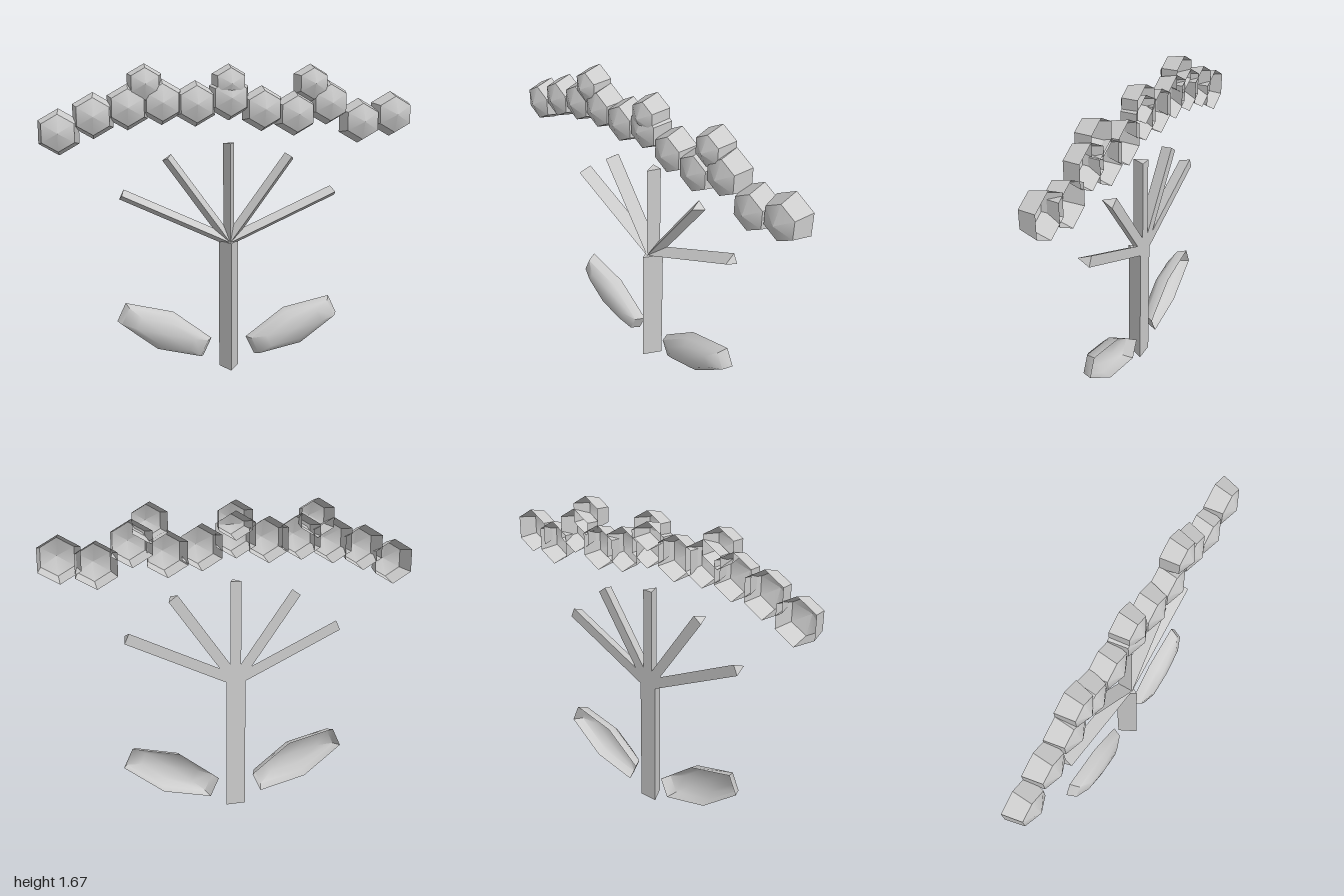
import * as THREE from 'three';
import { toCreasedNormals } from 'three/addons/utils/BufferGeometryUtils.js';

const BACK = -0.07;

// Open-backed dome: an outline at the back, shrinking through rings [scale, z] to an apex
function domeGeometry(outline, rings, apexZ, crease) {
  const pos = [], idx = [], n = outline.length;
  for (const [s, z] of rings) for (const [x, y] of outline) pos.push(x * s, y * s, z);
  pos.push(0, 0, apexZ);
  const apex = rings.length * n;
  for (let r = 0; r < rings.length; r++) {
    for (let j = 0; j < n; j++) {
      const a = r * n + j, b = r * n + (j + 1) % n;
      if (r === rings.length - 1) idx.push(a, b, apex);
      else idx.push(a, b, b + n, a, b + n, a + n);
    }
  }
  const geo = new THREE.BufferGeometry();
  geo.setAttribute('position', new THREE.Float32BufferAttribute(pos, 3));
  geo.setIndex(idx);
  return toCreasedNormals(geo, crease);
}

// Triangular bar rising along +y, flat at the back with a ridge in front
function barGeometry(halfWidth, ridgeZ, length) {
  const shape = new THREE.Shape([
    new THREE.Vector2(-halfWidth, -BACK),
    new THREE.Vector2(halfWidth, -BACK),
    new THREE.Vector2(0, -ridgeZ),
  ]);
  return new THREE.ExtrudeGeometry(shape, { depth: length, bevelEnabled: false }).rotateX(-Math.PI / 2);
}

export function createModel() {
  const group = new THREE.Group();
  const grey = new THREE.MeshStandardMaterial({ color: 0xcccccc, side: THREE.DoubleSide });
  grey.name = 'light grey';

  const add = (name, geo, x, y, angle = 0) => {
    const mesh = new THREE.Mesh(geo, grey);
    mesh.name = name;
    mesh.position.set(x, y, 0);
    mesh.rotation.z = angle;
    group.add(mesh);
  };

  // Trunk and fan of branches
  add('trunk', barGeometry(0.053, 0.03, 0.715), 0, 0);
  add('middleBranch', barGeometry(0.029, 0, 0.535), 0, 0.715);
  for (const side of [1, -1]) {
    const prefix = side > 0 ? 'left' : 'right';
    add(prefix + 'InnerBranch', barGeometry(0.029, 0, 0.57), 0, 0.715, -side * 0.627);
    add(prefix + 'OuterBranch', barGeometry(0.029, 0, 0.637), 0, 0.715, -side * 1.139);
  }

  // Leaves: long hexagonal domes
  const leafOutline = [[0.26, -0.055], [0.26, 0.055], [0, 0.111], [-0.26, 0.055], [-0.26, -0.055], [0, -0.111]];
  const leaf = domeGeometry(leafOutline, [[1, BACK], [0.91, -0.015], [0.6, 0.018]], 0.03, 0.9);
  add('leftLeaf', leaf, 0.356, 0.222, 0.436);
  add('rightLeaf', leaf, -0.356, 0.222, Math.PI - 0.436);

  // Blossoms: hexagonal cups with a rounded cap
  const blossom = (radius) => {
    const hex = [];
    for (let i = 0; i < 6; i++) {
      const a = Math.PI / 2 + i * Math.PI / 3;
      hex.push([radius * Math.cos(a), radius * Math.sin(a)]);
    }
    return domeGeometry(hex, [[1, BACK], [0.79, 0.03]], 0.07, 0.62);
  };
  const large = blossom(0.122), small = blossom(0.104);
  const heights = [1.317, 1.4, 1.444, 1.47, 1.46, 1.492, 1.433, 1.406, 1.465, 1.364, 1.4];
  heights.forEach((y, i) => add('blossom' + (i + 1), large, (i - 5) * 0.179, y));
  [-0.447, 0, 0.444].forEach((x, i) => add('topBlossom' + (i + 1), small, x, 1.565));

  return group;
}
